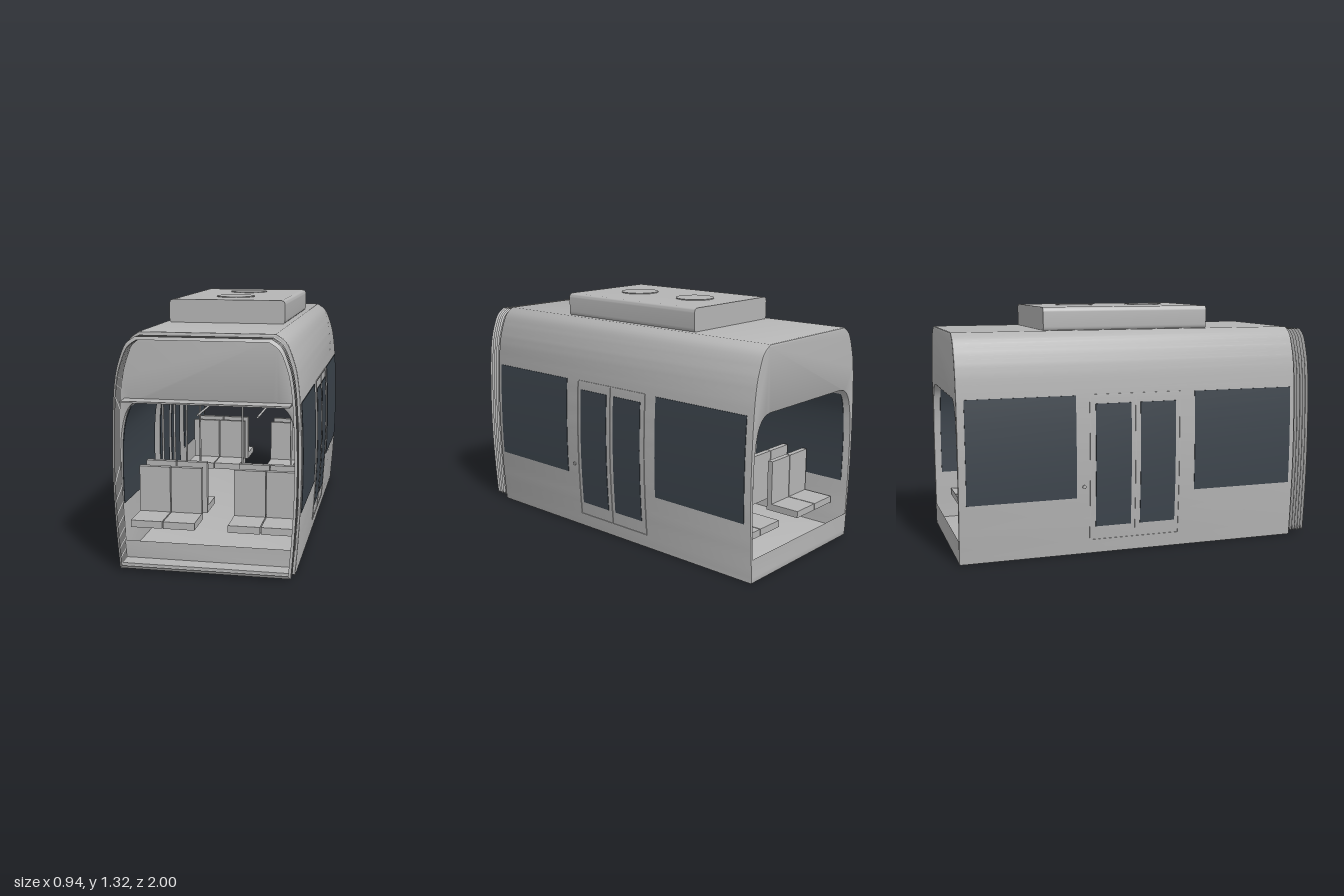
import * as THREE from 'three';
import { toCreasedNormals } from 'three/addons/utils/BufferGeometryUtils.js';

const V = (x, y) => new THREE.Vector2(x, y);

// Half cross-sections, from the sill up to the centre of the roof
const spline = (pts, n) => new THREE.SplineCurve(pts.map(p => V(...p))).getPoints(n);
const OUTER = spline([[0.438, 0], [0.452, 0.18], [0.463, 0.4], [0.464, 0.62], [0.455, 0.85],
  [0.44, 0.99], [0.418, 1.075], [0.385, 1.15], [0.335, 1.188]], 32);
const INNER = spline([[0.428, 0.038], [0.437, 0.25], [0.442, 0.5], [0.435, 0.66],
  [0.418, 0.755], [0.395, 0.808], [0.36, 0.84], [0.32, 0.85]], 28);
const mirrored = half => [...half, ...half.map(p => V(-p.x, p.y)).reverse()];

// Half-width of a section at height y
function widthAt(half, y) {
  for (let i = 1; i < half.length; i++) {
    const a = half[i - 1], b = half[i];
    if (y <= b.y) return THREE.MathUtils.lerp(a.x, b.x, (y - a.y) / (b.y - a.y));
  }
  return half[half.length - 1].x;
}

export function createModel() {
  const model = new THREE.Group();
  model.name = 'railCarSection';
  const grey = new THREE.MeshStandardMaterial({ color: 0xb4b4b4 });
  grey.name = 'paintedGrey';
  const fabric = new THREE.MeshStandardMaterial({ color: 0xb3b3b3, side: THREE.DoubleSide });
  fabric.name = 'bellowsGrey';
  const glass = new THREE.MeshStandardMaterial({ color: 0x3c444c });
  glass.name = 'darkGlass';

  function add(name, geo, mat, x = 0, y = 0, z = 0, parent = model) {
    const m = new THREE.Mesh(geo, mat);
    m.name = name;
    m.position.set(x, y, z);
    parent.add(m);
    return m;
  }
  const box = (name, w, h, d, x, y, z, mat = grey, parent = model) =>
    add(name, new THREE.BoxGeometry(w, h, d), mat, x, y, z, parent);

  // Body shell: rounded section with the passenger space cut through it
  const section = new THREE.Shape(mirrored(OUTER));
  section.holes.push(new THREE.Path(mirrored(INNER)));
  const bevel = 0.008;
  const shell = new THREE.ExtrudeGeometry(section, {
    depth: 1.9 - 2 * bevel, bevelThickness: bevel, bevelSize: bevel,
    bevelOffset: -bevel, bevelSegments: 2, steps: 1,
  });
  add('bodyShell', toCreasedNormals(shell, 0.5), grey, 0, 0, -1 + bevel);

  // Gangway: folded bellows, floor and ceiling plate
  const loop = mirrored(OUTER), n = loop.length, folds = 12;
  const pos = [], idx = [];
  for (let r = 0; r <= folds; r++) {
    const s = r % 2 ? 0.977 : 0.95;
    for (const p of loop) pos.push(p.x * s, 0.6 + (p.y - 0.6) * s, 0.895 + 0.105 * r / folds);
  }
  for (let r = 0; r < folds; r++) {
    for (let i = 0; i < n; i++) {
      const j = (i + 1) % n, a = r * n + i, b = r * n + j;
      idx.push(a, b, b + n, a, b + n, a + n);
    }
  }
  const bellows = new THREE.BufferGeometry();
  bellows.setAttribute('position', new THREE.Float32BufferAttribute(pos, 3));
  bellows.setIndex(idx);
  add('bellows', toCreasedNormals(bellows, 0.5), fabric);
  box('gangwayFloor', 0.84, 0.012, 0.1, 0, 0.034, 0.935);
  box('gangwayCeiling', 0.83, 0.008, 0.1, 0, 0.854, 0.935);

  // Roof equipment box with long edges rounded, and two fan covers
  const hw = 0.31, rad = 0.025, y0 = 1.183, y1 = 1.31;
  const roof = new THREE.Shape();
  roof.moveTo(-hw + rad, y0).lineTo(hw - rad, y0);
  roof.quadraticCurveTo(hw, y0, hw, y0 + rad).lineTo(hw, y1 - rad);
  roof.quadraticCurveTo(hw, y1, hw - rad, y1).lineTo(-hw + rad, y1);
  roof.quadraticCurveTo(-hw, y1, -hw, y1 - rad).lineTo(-hw, y0 + rad);
  roof.quadraticCurveTo(-hw, y0, -hw + rad, y0);
  const roofGeo = new THREE.ExtrudeGeometry(roof, { depth: 0.925, bevelEnabled: false, curveSegments: 6 });
  add('roofUnit', toCreasedNormals(roofGeo, 0.6), grey, 0, 0, -0.51);
  for (const z of [-0.255, 0.155])
    add('fanCover', new THREE.CylinderGeometry(0.105, 0.105, 0.006, 32), grey, 0, 1.312, z);

  // Panel following the curve of a side wall, from section a (outside) to b (inside)
  function wallPanel(name, side, yLo, yHi, zLo, zHi, mat, out, through) {
    const a = [], b = [], steps = 10;
    for (let i = 0; i <= steps; i++) {
      const y = yLo + (yHi - yLo) * i / steps, w = widthAt(OUTER, y);
      a.push(V(side * (w + out), y));
      b.unshift(V(side * (through ? widthAt(INNER, Math.min(y, 0.83)) - 0.003 : w - 0.003), y));
    }
    const geo = new THREE.ExtrudeGeometry(new THREE.Shape([...a, ...b]), { depth: zHi - zLo, bevelEnabled: false });
    add(name, toCreasedNormals(geo, 0.4), mat, 0, 0, zLo);
  }

  for (const s of [-1, 1]) {
    // Windows and door panes
    wallPanel('window', s, 0.312, 0.857, 0.292, 0.87, glass, 0.003, true);
    wallPanel('window', s, 0.312, 0.857, -0.96, -0.377, glass, 0.003, true);
    wallPanel('doorPane', s, 0.148, 0.81, -0.02, 0.18, glass, 0.003, true);
    wallPanel('doorPane', s, 0.148, 0.81, -0.27, -0.072, glass, 0.003, true);
    // Door frame strips and centre seam
    for (const y of [0.073, 0.857])
      wallPanel('doorRail', s, y - 0.003, y + 0.003, -0.3, 0.208, grey, 0.004);
    for (const z of [-0.3, -0.046, 0.205])
      wallPanel('doorStile', s, 0.073, 0.857, z - 0.003, z + 0.003, grey, 0.004);
    // Door button
    const button = add('doorButton', new THREE.CylinderGeometry(0.01, 0.01, 0.012, 16), grey,
      s * 0.463, 0.37, s > 0 ? 0.238 : -0.335);
    button.rotation.z = Math.PI / 2;
  }

  // Seats: back-to-back pairs either side of the aisle
  for (const [z, dir] of [[0.645, 1], [0.515, -1], [-0.595, 1], [-0.725, -1]]) {
    for (const x of [-0.337, -0.168, 0.168, 0.337]) {
      const seat = new THREE.Group();
      seat.name = 'seat';
      seat.position.set(x, 0, z);
      box('seatBack', 0.164, 0.28, 0.03, 0, 0.315, 0, grey, seat);
      box('seatPan', 0.164, 0.037, 0.17, 0, 0.1935, dir * 0.1, grey, seat);
      model.add(seat);
    }
  }

  // Grab poles and overhead handrails
  const pole = (x, z, top) =>
    add('grabPole', new THREE.CylinderGeometry(0.006, 0.006, top - 0.035, 10), grey, x, (top + 0.035) / 2, z);
  pole(0, -0.046, 0.853);
  for (const s of [-1, 1]) {
    for (const z of [-0.36, 0.27]) {
      pole(s * 0.33, z, 0.848);
      pole(s * 0.408, z - Math.sign(z) * 0.04, 0.82);
    }
    const rail = add('handrail', new THREE.CylinderGeometry(0.006, 0.006, 0.9, 10), grey, s * 0.165, 0.684, -0.046);
    rail.rotation.x = Math.PI / 2;
  }

  // Hanging information display with a dark screen on each face
  box('displayCase', 0.24, 0.085, 0.03, 0, 0.777, 0);
  for (const s of [-1, 1])
    box('displayScreen', 0.226, 0.073, 0.004, 0, 0.777, s * 0.016, glass);

  return model;
}
